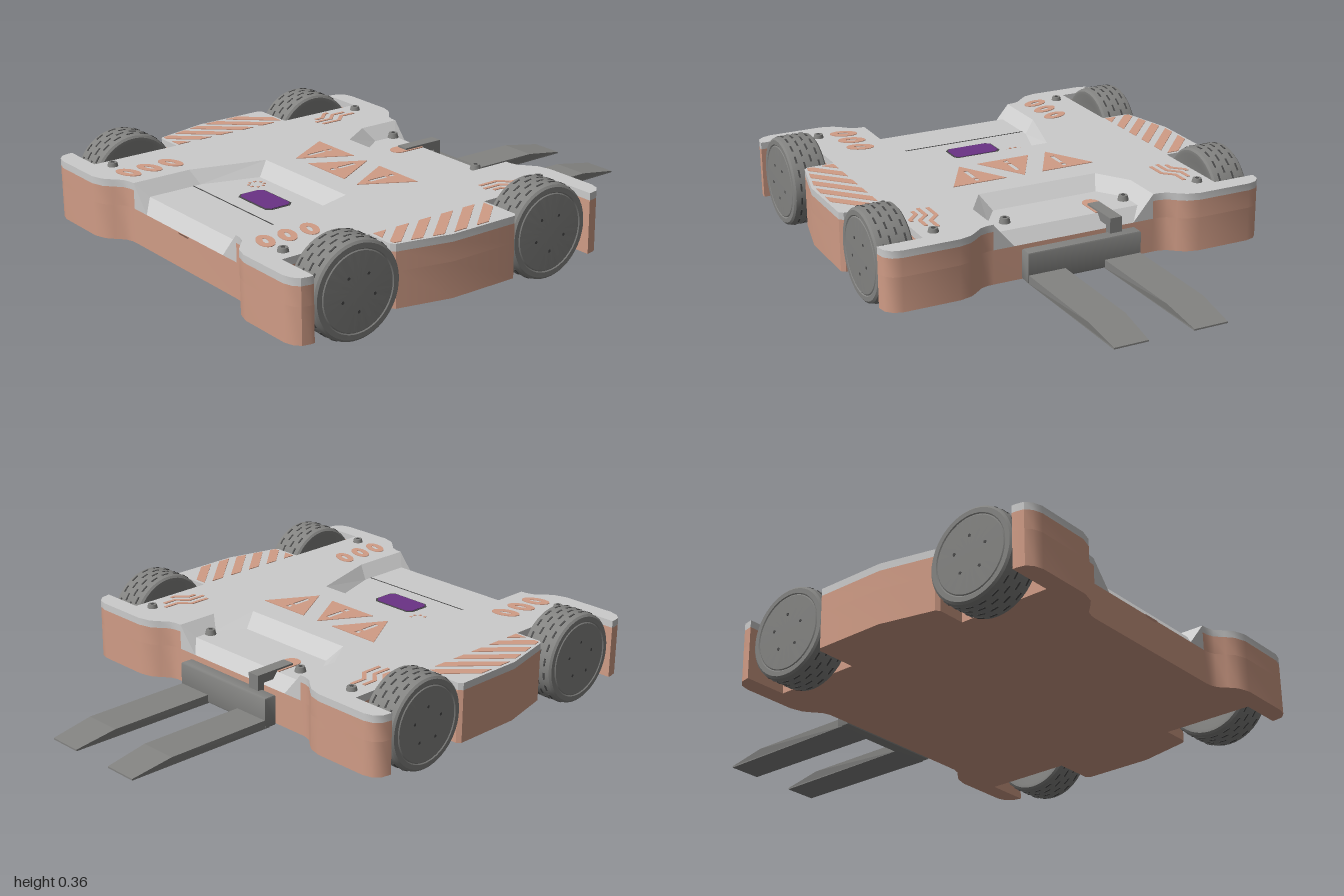
import * as THREE from 'three';
import { toCreasedNormals } from 'three/addons/utils/BufferGeometryUtils.js';

const material = (name, color, side = THREE.FrontSide) => {
  const m = new THREE.MeshStandardMaterial({ color, side });
  m.name = name;
  return m;
};

export function createModel() {
  const copper = material('copper', 0xd09c86);
  const shell = material('light grey', 0xcbcbcb);
  const shellOpen = material('light grey tray', 0xcbcbcb, THREE.DoubleSide);
  const rubber = material('dark grey', 0x838381);
  const groove = material('groove grey', 0x4a4a4a);
  const purple = material('purple', 0x6a3285);

  const root = new THREE.Group();
  root.name = 'forkRover';
  const add = (name, geometry, mat, parent = root) => {
    const mesh = new THREE.Mesh(geometry, mat);
    mesh.name = name;
    parent.add(mesh);
    return mesh;
  };
  const shapeOf = (pts) => new THREE.Shape(pts.map(([x, z]) => new THREE.Vector2(x, z)));
  const holeOf = (pts) => new THREE.Path(pts.map(([x, z]) => new THREE.Vector2(x, z)));
  // Flat plan shape (x, z) extruded between two heights
  const slab = (name, shape, bottom, top, mat, bevel = 0) => {
    const g = new THREE.ExtrudeGeometry(shape, {
      depth: top - bottom - 2 * bevel, bevelEnabled: bevel > 0, bevelSize: bevel,
      bevelThickness: bevel, bevelOffset: -bevel, bevelSegments: 2, curveSegments: 16,
    });
    g.rotateX(Math.PI / 2).translate(0, top - bevel, 0);
    return add(name, toCreasedNormals(g, 0.6), mat);
  };
  const box = (name, x0, x1, y0, y1, z0, z1, mat) => add(name,
    new THREE.BoxGeometry(x1 - x0, y1 - y0, z1 - z0)
      .translate((x0 + x1) / 2, (y0 + y1) / 2, (z0 + z1) / 2), mat);
  const rect = (x, z, w, h) => [[x - w / 2, z - h / 2], [x + w / 2, z - h / 2], [x + w / 2, z + h / 2], [x - w / 2, z + h / 2]];
  const mirrored = (half) => [...half, ...half.map(([x, z]) => [-x, z]).reverse()];

  // Body: plan outline with four open wheel wells and two sunken trays
  const side = [
    [0.36, 0.922], [0.39, 0.932], [0.42, 0.96], [0.45, 0.985], [0.5, 1], [0.72, 1],
    [0.755, 0.99], [0.778, 0.97], [0.785, 0.94], [0.785, 0.925], [0.61, 0.925], [0.61, 0.563],
    [0.72, 0.563], [0.735, 0.55], [0.785, 0.34], [0.785, 0.06], [0.77, 0.046],
    [0.61, 0.046], [0.61, -0.307], [0.785, -0.307], [0.778, -0.345], [0.755, -0.37], [0.72, -0.38],
    [0.5, -0.38], [0.45, -0.367], [0.42, -0.345], [0.39, -0.32], [0.36, -0.311],
  ];
  const trays = {
    frontTray: { top: [[0.25, 0.39], [0.335, 0.68], [0.335, 0.92]], floor: [[0.22, 0.44], [0.29, 0.66], [0.29, 0.88]] },
    backTray: { top: [[0.25, -0.01], [0.335, -0.14], [0.335, -0.31]], floor: [[0.22, -0.07], [0.29, -0.17], [0.29, -0.27]] },
  };
  const plain = shapeOf(mirrored([[0.335, 0.92], ...side, [0.335, -0.31]]));
  const notched = shapeOf(mirrored([...trays.frontTray.top, ...side, ...[...trays.backTray.top].reverse()]));
  slab('lowerBody', plain, 0.055, 0.19, copper);
  slab('upperBody', notched, 0.19, 0.262, copper);
  slab('topShell', notched, 0.262, 0.29, shell);

  // Trays: sloping walls, flat floor and a lip that drops to the body edge
  const [TOP, FLOOR, LIP] = [0.29, 0.24, 0.19];
  for (const [name, { top, floor }] of Object.entries(trays)) {
    const end = top[2][1];
    const pos = [];
    const quad = (a, b, c, d) => pos.push(...a, ...b, ...c, ...a, ...c, ...d);
    const at = ([x, z], y, s) => [x * s, y, z];
    const across = (p, q, yp, yq) => quad(at(p, yp, -1), at(p, yp, 1), at(q, yq, 1), at(q, yq, -1));
    const lip = [0.25, end];
    across(top[0], floor[0], TOP, FLOOR);
    across(floor[0], floor[1], FLOOR, FLOOR);
    across(floor[1], floor[2], FLOOR, FLOOR);
    across(floor[2], lip, FLOOR, LIP);
    for (const s of [-1, 1]) {
      for (const i of [0, 1]) {
        quad(at(top[i], TOP, s), at(top[i + 1], TOP, s), at(floor[i + 1], FLOOR, s), at(floor[i], FLOOR, s));
      }
      pos.push(...at(top[2], TOP, s), ...at(lip, LIP, s), ...at(floor[2], FLOOR, s));
      pos.push(...at(top[2], TOP, s), ...at(top[2], LIP, s), ...at(lip, LIP, s));
    }
    const g = new THREE.BufferGeometry();
    g.setAttribute('position', new THREE.Float32BufferAttribute(pos, 3));
    g.computeVertexNormals();
    add(name, g, shellOpen);
  }
  box('traySeam', -0.29, 0.29, 0.238, 0.2415, 0.69, 0.694, groove);

  // Screen with a thin frame, and a ring of small marks beside it
  const octagon = (w, h, c) => mirrored([[w - c, -h], [w, -h + c], [w, h - c], [w - c, h]]);
  const screenFrame = slab('screenFrame', shapeOf(octagon(0.102, 0.058, 0.018)), 0.236, 0.242, groove);
  const screen = slab('screen', shapeOf(octagon(0.096, 0.052, 0.016)), 0.236, 0.244, purple);
  screenFrame.position.z = screen.position.z = 0.57;
  for (let i = 0; i < 8; i++) {
    const a = (i + 0.5) * Math.PI / 4;
    slab('trayMark', shapeOf(rect(-0.16 + 0.03 * Math.cos(a), 0.497 + 0.03 * Math.sin(a), 0.01, 0.01)), 0.238, 0.242, copper);
  }
  const latch = new THREE.CylinderGeometry(0.04, 0.003, 0.026, 4, 1).rotateY(Math.PI / 4).scale(1.3, 1, 0.35);
  add('latchNotch', latch, copper).position.set(0, 0.177, 0.913);

  // Wheels: rounded tyres, slightly domed caps, staggered tread grooves
  const R = 0.18;
  const tyre = toCreasedNormals(new THREE.LatheGeometry([
    [0, -0.06], [0.12, -0.062], [0.155, -0.073], [0.168, -0.073], [0.176, -0.066], [R, -0.045], [R, 0.045],
    [0.176, 0.066], [0.168, 0.073], [0.15, 0.073], [0.146, 0.07], [0.142, 0.073], [0, 0.078],
  ].map(([r, y]) => new THREE.Vector2(r, y)), 48), 0.5);
  const axle = new THREE.CylinderGeometry(0.032, 0.032, 0.08, 20);
  const dash = new THREE.BoxGeometry(0.03, 0.007, 0.002);
  dash.rotateZ(Math.PI / 2);
  const bolt = new THREE.CylinderGeometry(0.006, 0.006, 0.004, 8);
  for (const s of [-1, 1]) {
    for (const [label, z] of [['front', 0.74], ['back', -0.118]]) {
      const wheel = new THREE.Group();
      wheel.name = label + 'Wheel';
      add('tyre', tyre, rubber, wheel);
      add('axle', axle, rubber, wheel).position.y = -0.09;
      for (let row = 0; row < 4; row++) {
        for (let i = 0; i < 20; i++) {
          const a = (i + row * 0.5) * Math.PI / 10;
          const d = add('treadGroove', dash, groove, wheel);
          d.position.set(R * Math.sin(a), (row - 1.5) * 0.03, R * Math.cos(a));
          d.rotation.set(0, a, Math.PI / 2);
        }
      }
      for (let i = 0; i < 5; i++) {
        const a = i * Math.PI * 0.4;
        add('wheelBolt', bolt, groove, wheel).position.set(0.07 * Math.cos(a), 0.075, 0.07 * Math.sin(a));
      }
      wheel.position.set(s * 0.703, R + 0.002, z);
      wheel.rotation.z = -s * Math.PI / 2;
      root.add(wheel);
    }
  }

  // Screws on the shell and in the back tray
  for (const s of [-1, 1]) {
    for (const [x, y, z] of [[0.553, 0.29, 0.88], [0.553, 0.29, -0.27], [0.25, 0.26, -0.23]]) {
      const p = [s * x, y + 0.005, z];
      add('screw', new THREE.CylinderGeometry(0.017, 0.022, 0.02, 16), rubber).position.set(...p);
      add('screwSocket', new THREE.CylinderGeometry(0.008, 0.008, 0.002, 6), groove).position.set(p[0], p[1] + 0.0105, z);
    }
  }

  // Fork carriage, lifting arm and two tapered tines
  slab('armSlot', new THREE.Shape().absarc(-0.143, -0.172, 0.034, 0, Math.PI * 2), 0.238, 0.243, copper);
  box('armSlotTail', -0.177, -0.109, 0.238, 0.243, -0.27, -0.172, copper);
  box('liftArm', -0.168, -0.118, 0.215, 0.25, -0.365, -0.19, rubber);
  box('armPost', -0.168, -0.118, 0.17, 0.25, -0.365, -0.335, rubber);
  slab('carriage', shapeOf(rect(0, -0.366, 0.47, 0.052)), 0.068, 0.19, rubber, 0.008);
  const tineSide = shapeOf([[0.37, 0.068], [1, 0.068], [1, 0.074], [0.83, 0.102], [0.37, 0.102]]);
  for (const s of [-1, 1]) {
    const g = new THREE.ExtrudeGeometry(tineSide, { depth: 0.15, bevelEnabled: false, steps: 1 });
    g.translate(0, 0, -0.075).rotateY(Math.PI / 2);
    // Narrow the tip a little
    const p = g.attributes.position;
    for (let i = 0; i < p.count; i++) if (p.getZ(i) < -0.95) p.setX(i, p.getX(i) * 0.9);
    g.computeVertexNormals();
    add('forkTine', g, rubber).position.x = s * 0.158;
  }

  // Painted details lie just above the shell
  const paint = (name, shape) => slab(name, shape, 0.286, 0.2925, copper);

  // Warning triangles with a bar and a dot cut out
  for (const [x, dir] of [[-0.19, -1], [0, 1], [0.19, -1]]) {
    const zAt = (v) => 0.195 + dir * v;
    const tri = shapeOf([[x, zAt(-0.098)], [x + 0.112, zAt(0.095)], [x - 0.112, zAt(0.095)]]);
    tri.holes.push(holeOf(rect(x, zAt(0), 0.018, 0.08)), holeOf(rect(x, zAt(0.064), 0.018, 0.022)));
    paint('warningTriangle', tri);
  }

  // Diagonal stripes clipped to each side wing
  const wing = [[0.615, 0.06], [0.773, 0.06], [0.773, 0.34], [0.725, 0.55], [0.615, 0.55]];
  const clip = (poly) => wing.reduce((pts, a, i) => {
    const b = wing[(i + 1) % wing.length];
    const d = ([x, z]) => (b[0] - a[0]) * (z - a[1]) - (b[1] - a[1]) * (x - a[0]);
    return pts.flatMap((p, k) => {
      const q = pts[(k + 1) % pts.length], dp = d(p), dq = d(q), t = dp / (dp - dq);
      const out = dp >= 0 ? [p] : [];
      if (dp * dq < 0) out.push([p[0] + t * (q[0] - p[0]), p[1] + t * (q[1] - p[1])]);
      return out;
    });
  }, poly);
  for (const s of [-1, 1]) {
    const flip = (pts) => pts.map(([x, z]) => [s * x, z]);
    for (let i = 0; i < 6; i++) {
      const z = -0.02 + i * 0.1;
      const stripe = clip([[0.6, z], [0.8, z + 0.22], [0.8, z + 0.275], [0.6, z + 0.055]]);
      if (stripe.length > 2) paint('wingStripe', shapeOf(flip(stripe)));
    }
    // Slotted ovals near the front
    for (const z of [0.692, 0.785, 0.875]) {
      const oval = new THREE.Shape().absellipse(s * 0.445, z, 0.056, 0.032, 0, Math.PI * 2, false, s * 0.35);
      oval.holes.push(new THREE.Path().absellipse(s * 0.445, z, 0.025, 0.009, 0, Math.PI * 2, true, s * 0.35));
      paint('ovalMark', oval);
    }
    // Stepped lines near the back
    for (const [x, z0, z1] of [[0.59, -0.15, -0.06], [0.56, -0.21, -0.04], [0.525, -0.235, -0.05]]) {
      const m = (z0 + z1) / 2, w = 0.014;
      paint('steppedLine', shapeOf(flip([[x, z0], [x, m - 0.025], [x - 0.04, m + 0.015], [x - 0.04, z1],
        [x - 0.04 - w, z1], [x - 0.04 - w, m + 0.008], [x - w, m - 0.032], [x - w, z0]])));
    }
  }
  return root;
}
